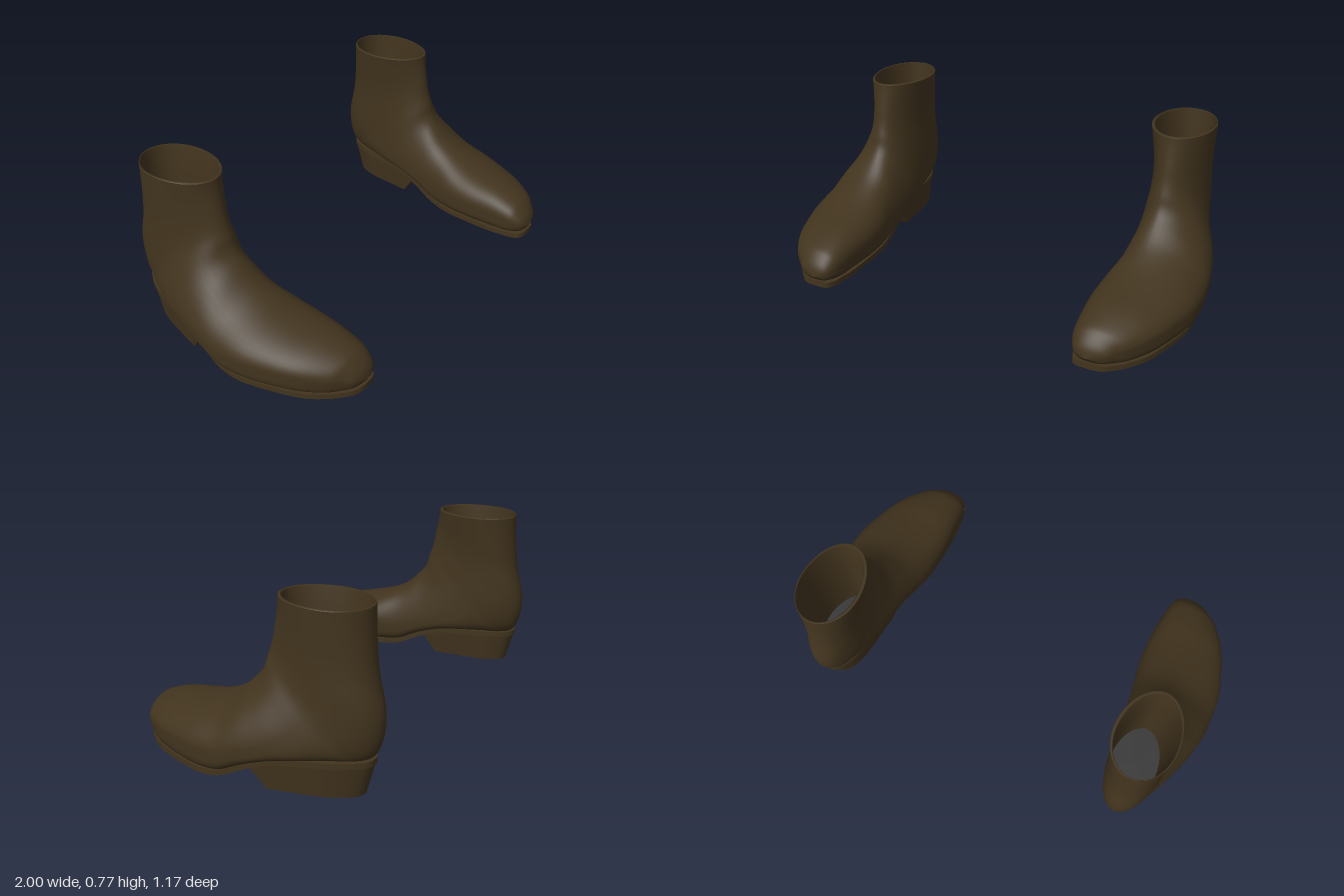
import * as THREE from 'three';
import { toCreasedNormals } from 'three/addons/utils/BufferGeometryUtils.js';

const material = (name, color) => new THREE.MeshStandardMaterial({ name, color });
const clamp = THREE.MathUtils.clamp;

// Upper cross-sections from toe to collar: top z, top y, bottom z, bottom y, inner x, outer x
const UPPER = [
  [.586, .068, .586, .062, .672, .688],
  [.574, .11, .562, .036, .625, .755],
  [.54, .153, .53, .026, .602, .795],
  [.50, .18, .48, .022, .588, .845],
  [.40, .215, .39, .02, .578, .908],
  [.28, .24, .28, .02, .57, .955],
  [.16, .275, .16, .022, .575, .99],
  [.05, .33, .04, .035, .595, 1.0],
  [-.03, .405, -.08, .093, .608, .995],
  [-.065, .455, -.22, .135, .615, .97],
  [-.08, .505, -.40, .148, .625, .925],
  [-.095, .55, -.53, .155, .63, .895],
  [-.105, .59, -.578, .23, .632, .882],
  [-.112, .63, -.587, .35, .634, .876],
  [-.122, .68, -.555, .49, .628, .874],
  [-.131, .73, -.537, .64, .614, .878],
  [-.135, .765, -.53, .765, .602, .882],
];

// Collar lip and inner wall: inset from the collar, height
const LINING = [[0, .765], [.008, .77], [.016, .765], [.035, .6], [.038, .25]];

// Sole stations from toe to heel: z, bottom y, inner x, outer x
const SOLE = [
  [.58, .012, .65, .71], [.565, .008, .62, .75], [.53, .005, .605, .79],
  [.48, .005, .597, .838], [.38, .005, .588, .9], [.16, .01, .593, .97],
  [.04, .025, .615, .977], [-.03, .055, .625, .97], [-.1, .088, .635, .96],
  [-.2, .118, .645, .938], [-.34, .13, .655, .905], [-.43, .134, .67, .876],
  [-.495, .136, .693, .843], [-.54, .137, .722, .808], [-.556, .138, .75, .78],
];
const SOLE_THICKNESS = .025;

// Smooth in-between rows of a table
function refine(rows, steps) {
  const out = [];
  const at = i => rows[clamp(i, 0, rows.length - 1)];
  for (let i = 0; i < rows.length - 1; i++) {
    for (let s = 0; s < steps; s++) {
      const t = s / steps;
      out.push(rows[i].map((b, k) => {
        const a = at(i - 1)[k], c = at(i + 1)[k], d = at(i + 2)[k];
        return b + .5 * t * (c - a + t * (2 * a - 5 * b + 4 * c - d + t * (3 * (b - c) + d - a)));
      }));
    }
  }
  out.push(rows[rows.length - 1]);
  return out;
}

// Rounded cross-section: boxy below along the foot, peaked over the instep, oval at toe, heel and shaft
function section([zt, yt, zb, yb, xi, xo], count = 48) {
  const xc = (xi + xo) / 2, w = (xo - xi) / 2, points = [];
  const ridge = Math.min(.745, .745 - (zt - .2) * .16);
  const instep = Math.exp(-(((zb + .15) / .27) ** 2));
  const widest = .5 - .27 * instep;
  const boxy = 2 + 2.4 * clamp((zb + .53) / .25, 0, 1) * clamp((.6 - zb) / .12, 0, 1);
  for (let j = 0; j < count; j++) {
    const a = j / count * Math.PI * 2, c = Math.cos(a), s = Math.sin(a);
    const n = s > 0 ? 2 - .35 * instep : boxy;
    const v = Math.sign(s) * Math.abs(s) ** (2 / n);
    const f = widest + v * (v > 0 ? 1 - widest : widest);
    const lean = v > 0 ? (ridge - xc) * v * v : 0;
    const x = xc + w * Math.sign(c) * Math.abs(c) ** (2 / n) + lean;
    points.push([x, yb + (yt - yb) * f, zb + (zt - zb) * f]);
  }
  return points;
}

// Skin over equal rings of points; side -1 mirrors it in x
function loft(rings, side, closed = true) {
  const n = rings[0].length, index = [];
  const position = rings.flat().flatMap(([x, y, z]) => [x * side, y, z]);
  for (let i = 0; i < rings.length - 1; i++) {
    for (let j = 0; j < (closed ? n : n - 1); j++) {
      const a = i * n + j, b = i * n + (j + 1) % n, c = a + n, d = b + n;
      if (side > 0) index.push(a, c, b, b, c, d);
      else index.push(a, b, c, b, d, c);
    }
  }
  const geometry = new THREE.BufferGeometry();
  geometry.setAttribute('position', new THREE.Float32BufferAttribute(position, 3));
  geometry.setIndex(index);
  geometry.computeVertexNormals();
  return geometry;
}

function createBoot(side, mats) {
  const boot = new THREE.Group();
  const add = (name, geometry, mat) => {
    const mesh = new THREE.Mesh(geometry, mat);
    mesh.name = name;
    boot.add(mesh);
  };

  // Leather upper, collar lining and insole
  add('upper', loft(refine(UPPER, 4).map(r => section(r)), side), mats.leather);
  const [zf, , zb, , xi, xo] = UPPER[UPPER.length - 1];
  const lining = LINING.map(([d, y]) => section([zf - d, y, zb + d * .4, y, xi + d, xo - d * .5]));
  add('collarLining', loft(lining, side), mats.leather);
  const floor = lining[lining.length - 1];
  add('insole', loft([floor, floor.map(() => [.75, .25, -.343])], side), mats.insole);

  // Thin sole that climbs the arch and becomes the heel seat
  const stations = refine(SOLE, 3);
  const edge = (k, lift) => stations.map(r => [r[k], r[1] + lift, r[0]]);
  const loop = (inner, outer) => [...inner, ...[...outer].reverse()];
  const lowIn = edge(2, 0), lowOut = edge(3, 0);
  const topIn = edge(2, SOLE_THICKNESS), topOut = edge(3, SOLE_THICKNESS);
  add('soleEdge', toCreasedNormals(loft([loop(lowIn, lowOut), loop(topIn, topOut)], side), .9), mats.leather);
  add('soleTop', loft([topIn, topOut], side, false), mats.leather);
  add('soleBottom', loft([lowOut, lowIn], side, false), mats.sole);

  // Heel block tapering to a dark tip
  const heel = stations.filter(r => r[0] <= -.0999);
  const shrink = (x, k) => .775 + (x - .775) * k;
  const seat = k => heel.map(r => [shrink(r[k], .985), r[1] + .008, r[0] * .995]);
  const tip = k => heel.map(r => [shrink(r[k], .83), 0, -.165 + (r[0] + .1) / .456 * .35]);
  add('heelBlock', toCreasedNormals(loft([loop(tip(2), tip(3)), loop(seat(2), seat(3))], side), .9), mats.leather);
  add('heelTip', loft([tip(3), tip(2)], side, false), mats.heelTip);
  return boot;
}

export function createModel() {
  const mats = {
    leather: material('dark brown leather', 0x42341e),
    insole: material('grey insole', 0x353535),
    sole: material('tan sole', 0xa6745a),
    heelTip: material('black rubber', 0x28282a),
  };
  const model = new THREE.Group();
  model.name = 'ankleBoots';
  for (const side of [1, -1]) {
    const boot = createBoot(side, mats);
    boot.name = side > 0 ? 'leftBoot' : 'rightBoot';
    model.add(boot);
  }
  return model;
}
